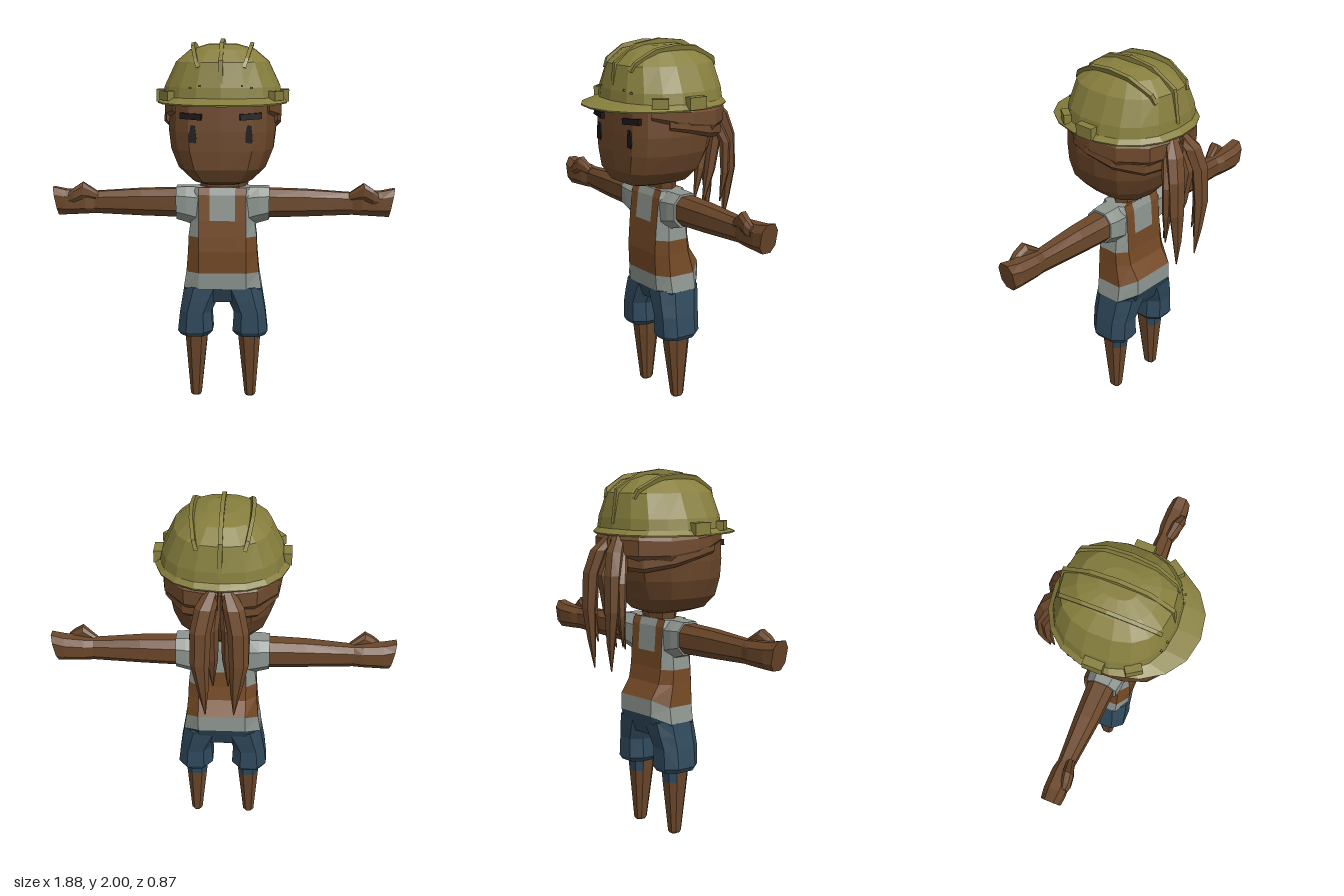
import * as THREE from 'three';

const material = (name, color, side = THREE.FrontSide) => {
  const m = new THREE.MeshStandardMaterial({ color, side });
  m.name = name;
  return m;
};

// Faceted skin over cross-sections; pick(row, column) chooses the material index
function loft(rings, { cap = true, pick = () => 0 } = {}) {
  const tris = [], n = rings[0].length;
  const mid = r => [0, 1, 2].map(k => r.reduce((s, p) => s + p[k], 0) / n);
  for (let i = 0; i < rings.length - 1; i++)
    for (let j = 0; j < n; j++) {
      const k = (j + 1) % n, a = rings[i][j], b = rings[i][k], c = rings[i + 1][k], d = rings[i + 1][j];
      tris.push([pick(i, j), a, b, c], [pick(i, j), a, c, d]);
    }
  if (cap) {
    const last = rings.length - 1, lo = mid(rings[0]), hi = mid(rings[last]);
    for (let j = 0; j < n; j++) {
      const k = (j + 1) % n;
      tris.push([pick(0, j), lo, rings[0][k], rings[0][j]], [pick(last - 1, j), hi, rings[last][j], rings[last][k]]);
    }
  }
  // turn the faces outward whatever the ring direction or mirroring
  const o = mid(rings[0]);
  const vec = p => new THREE.Vector3(p[0] - o[0], p[1] - o[1], p[2] - o[2]);
  const volume = tris.reduce((s, [, a, b, c]) => s + vec(a).dot(vec(b).cross(vec(c))), 0);
  tris.sort((p, q) => p[0] - q[0]);
  const pos = [], g = new THREE.BufferGeometry();
  for (const [, a, b, c] of tris) pos.push(...a, ...(volume < 0 ? c : b), ...(volume < 0 ? b : c));
  g.setAttribute('position', new THREE.Float32BufferAttribute(pos, 3));
  g.computeVertexNormals();
  for (let s = 0; s < tris.length;) {
    let e = s;
    while (e < tris.length && tris[e][0] === tris[s][0]) e++;
    g.addGroup(s * 3, (e - s) * 3, tris[s][0]);
    s = e;
  }
  return g;
}

// Rectangle with cut corners
function octagon(u0, u1, v0, v1) {
  const c = (u1 - u0) * 0.25, d = (v1 - v0) * 0.25;
  return [[u0 + c, v1], [u1 - c, v1], [u1, v1 - d], [u1, v0 + d], [u1 - c, v0], [u0 + c, v0], [u0, v0 + d], [u0, v1 - d]];
}
const limbY = (s, rows) => rows.map(([y, a, b, c, d]) => octagon(a, b, c, d).map(([x, z]) => [x * s, y, z]));
const limbX = (s, rows, lean = 0) => rows.map(([x, a, b, c, d], i) =>
  octagon(a, b, c, d).map(([y, z]) => [s * (x + (i === rows.length - 1 ? (y - 1.11) * lean : 0)), y, z]));

// Rounded ring with separate front and back depth
function oval(y, rx, front, back, e = 0.85, n = 18) {
  return Array.from({ length: n }, (_, i) => {
    const a = (i / n) * Math.PI * 2, s = Math.sin(a), c = Math.cos(a);
    return [rx * Math.sign(s) * Math.abs(s) ** e, y, (c > 0 ? front : back) * Math.sign(c) * Math.abs(c) ** e];
  });
}

// Tapered lock of hair; path rows are x, y, z, half width, half thickness
function lock(s, path, upright) {
  return loft(path.map(([x, y, z, w, t]) => {
    const r = Math.hypot(x, z);
    return [[1, 0], [0.5, 1], [-0.5, 1], [-1, 0], [-0.5, -1], [0.5, -1]].map(([u, v]) => upright
      ? [s * (x + u * w), y, z + v * t]
      : [s * (x + (v * t * x) / r), y + u * w, z + (v * t * z) / r]);
  }));
}

export function createModel() {
  const skin = material('skin', 0x6b472a), hair = material('hair', 0x6f4a2d), vest = material('vest brown', 0x744925);
  const shirt = material('shirt grey', 0x8e958f), denim = material('shorts blue', 0x304a5d);
  const helmetMat = material('helmet olive', 0x877f3e, THREE.DoubleSide), dark = material('face dark', 0x1d1518);
  const model = new THREE.Group();
  const add = (name, geometry, mat, parent = model) => {
    const m = new THREE.Mesh(geometry, mat);
    m.name = name;
    parent.add(m);
    return m;
  };
  const group = name => {
    const g = new THREE.Group();
    g.name = name;
    model.add(g);
    return g;
  };

  // Torso: shorts top, shirt hem, vest with straps, shirt patches
  const torso = [
    [0.56, 0.15, 0.07, -0.12, 0], [0.64, 0.215, 0.105, -0.17, 0.04], [0.73, 0.2, 0.112, -0.168, 0.04],
    [0.85, 0.19, 0.117, -0.115, 0], [0.93, 0.187, 0.112, -0.1, 0], [1.02, 0.175, 0.105, -0.095, 0],
    [1.16, 0.18, 0.09, -0.085, 0], [1.2, 0.15, 0.075, -0.07, 0]
  ].map(([y, w, f, b, lift]) => {
    const half = [[0.07, f], [0.13, f], [w, f * 0.55], [w, b * 0.55], [0.13, b], [0.07, b]];
    return [...half, ...half.map(([x, z]) => [-x, z]).reverse()].map(([x, z]) => [x, z === b ? y + lift : y, z]);
  });
  add('torso', loft(torso, {
    pick: (row, col) => {
      if (row < 2) return row === 0 ? 2 : 1;
      const side = [1, 2, 3, 7, 8, 9].includes(col), centre = col === 5 || col === 11;
      return (row >= 4 && side) || (row >= 5 && centre) ? 1 : 0;
    }
  }), [vest, shirt, denim]);
  add('neck', loft([oval(1.17, 0.12, 0.06, 0.07, 1, 8), oval(1.28, 0.13, 0.07, 0.08, 1, 8)]), skin);

  for (const s of [1, -1]) {
    // Arm with fist and thumb
    const arm = group(s > 0 ? 'leftArm' : 'rightArm');
    add('sleeve', loft(limbX(s, [[0.13, 0.98, 1.2, -0.085, 0.09], [0.2, 1.005, 1.2, -0.09, 0.09], [0.255, 1.02, 1.198, -0.085, 0.08]])), shirt, arm);
    add('armAndHand', loft(limbX(s, [
      [0.22, 1.03, 1.188, -0.078, 0.068], [0.45, 1.036, 1.182, -0.07, 0.055], [0.71, 1.045, 1.165, -0.055, 0.03],
      [0.76, 1.043, 1.168, -0.065, 0.045], [0.87, 1.038, 1.175, -0.065, 0.05], [0.925, 1.035, 1.19, -0.055, 0.045]
    ], 0.2)), skin, arm);
    add('thumb', loft(limbX(s, [
      [0.69, 1.12, 1.165, -0.01, 0.03], [0.77, 1.13, 1.222, 0, 0.06], [0.82, 1.11, 1.19, 0.01, 0.064], [0.85, 1.11, 1.165, 0.02, 0.055]
    ])), skin, arm);

    // Leg in a wide short trouser, with a darker patch behind the knee
    const leg = group(s > 0 ? 'leftLeg' : 'rightLeg');
    add('shortsLeg', loft(limbY(s, [
      [0.365, 0.075, 0.235, -0.115, 0.09], [0.39, 0.055, 0.25, -0.13, 0.105], [0.5, 0.062, 0.238, -0.13, 0.107],
      [0.57, 0.03, 0.226, -0.142, 0.107], [0.645, -0.01, 0.214, -0.15, 0.104]
    ])), denim, leg);
    add('shin', loft(limbY(s, [
      [0, 0.13, 0.175, -0.045, 0.01], [0.012, 0.122, 0.183, -0.052, 0.016],
      [0.3, 0.092, 0.205, -0.078, 0.051], [0.4, 0.083, 0.212, -0.087, 0.061]
    ]), { pick: (row, col) => (row === 2 && col >= 3 && col <= 5 ? 1 : 0) }), [skin, denim], leg);
  }

  // Head: flat face, rounded back, narrow jaw
  const outline = [[0, 0.29], [0.17, 0.285], [0.24, 0.235], [0.285, 0.12], [0.29, 0], [0.262, -0.14], [0.16, -0.25], [0, -0.28]];
  const around = [...outline, ...outline.slice(1, -1).map(([x, z]) => [-x, z]).reverse()];
  const headRing = ([y, w, f, b]) => around.map(([x, z]) => [(x * w) / 0.29, y, z > 0 ? (z * f) / 0.29 : (z * b) / 0.28]);
  add('head', loft([
    [1.23, 0.1, 0.19, 0.09], [1.25, 0.165, 0.25, 0.14], [1.32, 0.238, 0.285, 0.2],
    [1.42, 0.278, 0.29, 0.25], [1.52, 0.29, 0.29, 0.275], [1.66, 0.285, 0.285, 0.285], [1.8, 0.24, 0.24, 0.24]
  ].map(headRing)), skin);

  // Eyes and brows
  const eyeShape = new THREE.Shape([[-0.018, 0.01], [0.016, 0.005], [0.02, 0.03], [0.012, 0.095], [-0.008, 0.1], [-0.018, 0.06]]
    .map(p => new THREE.Vector2(...p)));
  for (const s of [1, -1]) {
    const eye = add('eye', new THREE.ExtrudeGeometry(eyeShape, { depth: 0.009, bevelEnabled: false }), dark);
    eye.position.set(s * 0.147, 1.457, 0.283);
    const brow = add('eyebrow', new THREE.BoxGeometry(0.115, 0.032, 0.03), dark);
    brow.position.set(s * 0.155, 1.602, 0.277);
    brow.rotation.set(0, s * 0.22, s * 0.06);
  }

  // Hair: swept side locks gathered into a split tail
  for (const s of [1, -1]) {
    add('sideHair', lock(s, [
      [0.245, 1.645, 0.215, 0.03, 0.012], [0.288, 1.63, 0.1, 0.05, 0.02], [0.298, 1.615, 0, 0.06, 0.02],
      [0.272, 1.6, -0.15, 0.075, 0.025], [0.17, 1.6, -0.27, 0.08, 0.03], [0.01, 1.6, -0.31, 0.08, 0.035]
    ]), hair);
    add('lowerSideHair', lock(s, [
      [0.285, 1.59, 0.13, 0.03, 0.012], [0.298, 1.575, 0.03, 0.035, 0.018], [0.275, 1.54, -0.12, 0.04, 0.02],
      [0.18, 1.515, -0.25, 0.045, 0.025], [0.02, 1.53, -0.31, 0.05, 0.03]
    ]), hair);
    add('outerTailLock', lock(s, [
      [0.03, 1.67, -0.29, 0.03, 0.03], [0.07, 1.58, -0.36, 0.055, 0.035], [0.095, 1.46, -0.395, 0.055, 0.032],
      [0.1, 1.27, -0.405, 0.05, 0.028], [0.085, 1.1, -0.4, 0.028, 0.018], [0.075, 0.95, -0.39, 0.003, 0.003]
    ], true), hair);
    add('innerTailLock', lock(s, [
      [0.03, 1.62, -0.29, 0.04, 0.03], [0.05, 1.45, -0.345, 0.045, 0.03], [0.045, 1.25, -0.315, 0.035, 0.025], [0.04, 1.05, -0.27, 0.003, 0.003]
    ], true), hair);
    add('sideTailLock', lock(s, [
      [0.07, 1.58, -0.31, 0.03, 0.03], [0.12, 1.42, -0.36, 0.035, 0.025], [0.125, 1.25, -0.36, 0.025, 0.02], [0.11, 1.08, -0.34, 0.003, 0.003]
    ], true), hair);
  }

  // Helmet shell and brim
  const helmet = group('helmet');
  add('shell', loft([
    oval(1.67, 0.33, 0.31, 0.322), oval(1.75, 0.314, 0.303, 0.315), oval(1.88, 0.252, 0.275, 0.287),
    oval(1.945, 0.175, 0.2, 0.205), oval(1.972, 0.08, 0.1, 0.1)
  ]), helmetMat, helmet);
  add('brim', loft([
    oval(1.662, 0.3, 0.29, 0.3), oval(1.66, 0.35, 0.43, 0.348, 0.92), oval(1.668, 0.352, 0.432, 0.35, 0.92), oval(1.695, 0.322, 0.308, 0.318)
  ], { cap: false }), helmetMat, helmet);

  // Raised ribs over the crown
  const rib = (name, points, x, tilt, width) => {
    const inner = points.slice(1, -1).map(([z, y]) => [z * 0.82, y - 0.06]).reverse();
    const shape = new THREE.Shape([...points, ...inner].map(([z, y]) => new THREE.Vector2(-z, y)));
    const g = new THREE.ExtrudeGeometry(shape, { depth: width, bevelEnabled: false });
    g.translate(0, -1.95, -width / 2).rotateY(Math.PI / 2).rotateZ(tilt).translate(x, 1.95, 0);
    add(name, g, helmetMat, helmet);
  };
  rib('centreRib', [[0.303, 1.72], [0.285, 1.89], [0.15, 1.98], [0, 2], [-0.15, 1.982], [-0.297, 1.9], [-0.322, 1.72]], 0, 0, 0.022);
  for (const s of [1, -1]) {
    rib('sideRib', [[0.27, 1.85], [0.245, 1.9], [0.13, 1.965], [0, 1.982], [-0.13, 1.968], [-0.26, 1.9], [-0.28, 1.85]], s * 0.15, s * -0.3, 0.02);
    // Clips and rivets
    const box = (name, size, pos, turn) => {
      const b = add(name, new THREE.BoxGeometry(...size), helmetMat, helmet);
      b.position.set(s * pos[0], pos[1], pos[2]);
      b.rotation.y = s * turn;
    };
    box('sideClip', [0.05, 0.065, 0.105], [0.333, 1.698, 0], 0);
    box('frontClip', [0.04, 0.05, 0.085], [0.288, 1.705, 0.19], -0.6);
    box('rivet', [0.01, 0.01, 0.01], [0.16, 1.75, 0.284], 0.2);
    box('rivet', [0.01, 0.01, 0.01], [0.11, 1.76, 0.296], 0.2);
  }
  return model;
}
